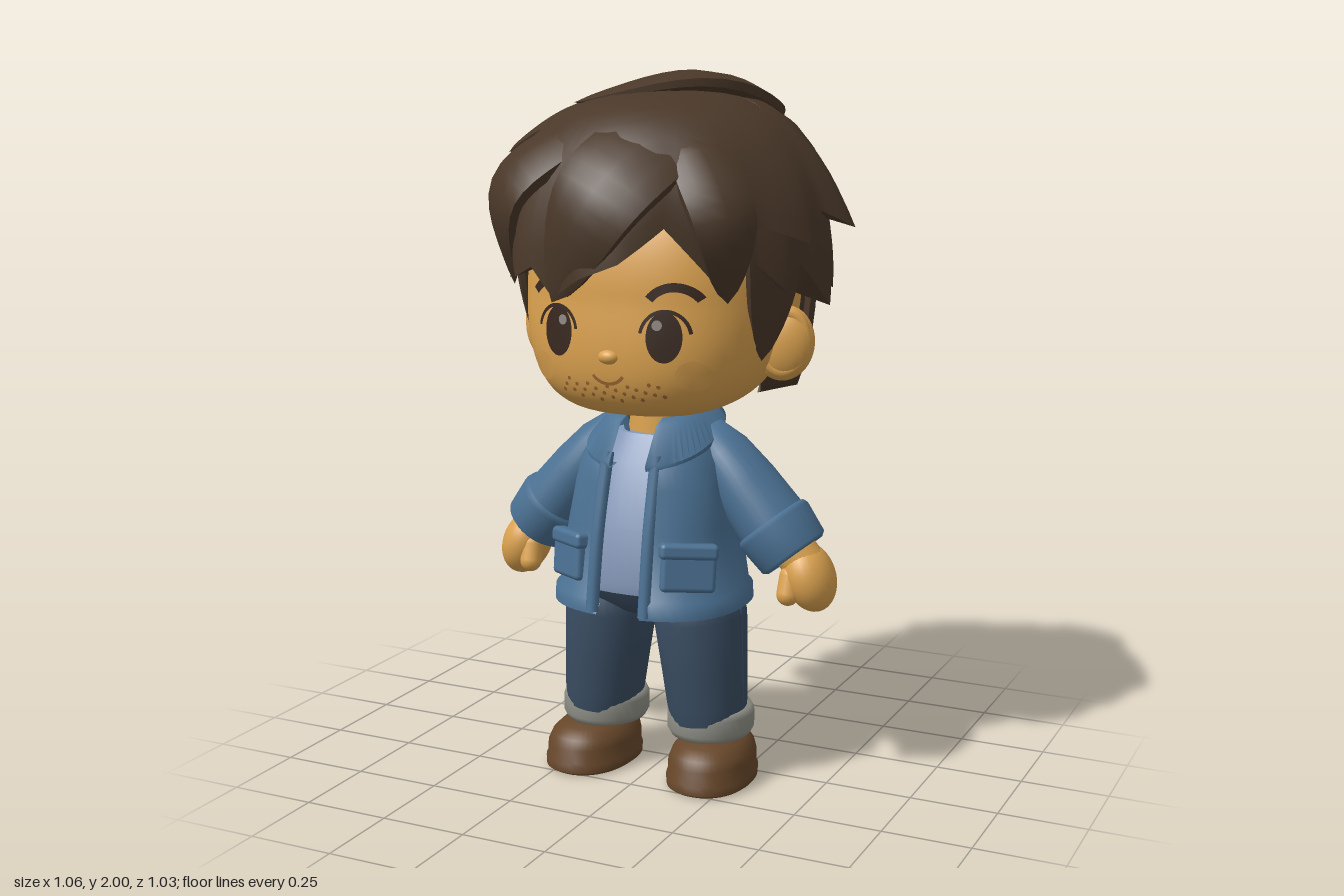
import * as THREE from 'three';
import { toCreasedNormals } from 'three/addons/utils/BufferGeometryUtils.js';
import { RoundedBoxGeometry } from 'three/addons/geometries/RoundedBoxGeometry.js';

const mat = (name, color, side = THREE.FrontSide) => {
  const m = new THREE.MeshStandardMaterial({ color, side });
  m.name = name;
  return m;
};
const V = (x, y, z) => new THREE.Vector3(x, y, z);
const spow = (v, e) => Math.sign(v) * Math.pow(Math.abs(v), e);

// Surface from a rule fn(i, j) -> Vector3; i runs anticlockwise seen from above, j upward
function grid(nu, nv, fn, crease = 0.9) {
  const pos = [], idx = [];
  for (let j = 0; j <= nv; j++) for (let i = 0; i <= nu; i++) pos.push(...fn(i, j).toArray());
  for (let j = 0; j < nv; j++) for (let i = 0; i < nu; i++) {
    const a = j * (nu + 1) + i, c = a + nu + 1;
    idx.push(a, a + 1, c, a + 1, c + 1, c);
  }
  const g = new THREE.BufferGeometry();
  g.setAttribute('position', new THREE.Float32BufferAttribute(pos, 3));
  g.setIndex(idx);
  return toCreasedNormals(g, crease);
}

// Stacked rounded sections: rows of [y, halfWidth, zFront, zBack, tilt], with an optional front opening
function loft(rows, gap = 0, p = 2.4) {
  const n = 48;
  return grid(n, rows.length - 1, (i, j) => {
    const [y, rx, zf, zb, tilt = 0] = rows[j];
    const g = Math.asin(Math.min(1, Math.pow(gap / rx, p / 2)));
    const t = g + (i / n) * (2 * Math.PI - 2 * g);
    const c = spow(Math.cos(t), 2 / p);
    return V(rx * spow(Math.sin(t), 2 / p), y + tilt * c, (zf + zb) / 2 + ((zf - zb) / 2) * c);
  });
}

// Hair layer hung from the crown; its edge passes through [degrees, y, radius] points,
// then turns in underneath to the given share of the radius
function hairLayer(edge, R, s0, inner = 0.72, rise = 0.04) {
  const cy = 1.55, ry = 0.395, k = 4, nv = 14;
  return grid((edge.length - 1) * k, nv, (i, j) => {
    const q = Math.min(Math.floor(i / k), edge.length - 2), f = i / k - q;
    const [th, y, r] = edge[q].map((v, m) => v + (edge[q + 1][m] - v) * f);
    const t = THREE.MathUtils.degToRad(th);
    if (j === 0) return V(r * inner * Math.sin(t), y + rise, r * inner * Math.cos(t));
    const s = 1 - (1 - s0) * (j - 1) / (nv - 1);
    const end = Math.acos(THREE.MathUtils.clamp((y - cy) / ry, -0.8, 1));
    const rad = a => R * Math.pow(Math.max(0, Math.sin(a)), 0.72);
    const d = rad(s * end) + (r - rad(end)) * s ** 3;
    const fix = (y - cy - ry * Math.cos(end)) * s ** 3;
    return V(d * Math.sin(t), cy + ry * Math.cos(s * end) + fix, d * Math.cos(t));
  }, 0.8);
}

// Leaf-shaped lock along a curve, lying flat on the head
function lock(points, width, thick) {
  const curve = new THREE.CatmullRomCurve3(points.map(p => V(...p)));
  const n = 10, nv = 14;
  return grid(n, nv, (i, j) => {
    const v = j / nv, P = curve.getPoint(v), t = curve.getTangent(v);
    const out = P.clone().sub(V(0, 1.5, 0));
    out.addScaledVector(t, -out.dot(t)).normalize();
    const b = t.clone().cross(out), a = (i / n) * Math.PI * 2;
    const f = 1.9 * Math.pow(1 - v, 0.7) * Math.pow(v, 0.35);
    return P.addScaledVector(out, thick * f * Math.cos(a)).addScaledVector(b, width * f * Math.sin(a));
  }, 0.8);
}

// Head: a rounded block, full at the cheeks, with the chin carried forward
const HEAD = { y: 1.4, z: 0.02, rx: 0.375, ry: 0.335, rz: 0.345, p: 2.4 };
const headWidth = v => Math.pow(Math.max(0, 1 - v * v), 0.275);
const chin = v => HEAD.z + 0.09 * Math.pow(Math.max(0, -v), 1.4);
function faceZ(x, y) {
  const v = (y - HEAD.y) / HEAD.ry;
  const q = Math.pow(headWidth(v), HEAD.p) - Math.pow(Math.abs(x) / HEAD.rx, HEAD.p);
  return chin(v) + HEAD.rz * Math.pow(Math.max(0, q), 1 / HEAD.p);
}
function headGeometry() {
  const n = 64, nv = 48;
  return grid(n, nv, (i, j) => {
    const t = (i / n) * Math.PI * 2, v = -Math.cos((j / nv) * Math.PI), s = Math.sin(t), c = Math.cos(t);
    const k = headWidth(v) / Math.pow(Math.abs(s) ** HEAD.p + Math.abs(c) ** HEAD.p, 1 / HEAD.p);
    return V(HEAD.rx * k * s, HEAD.y + HEAD.ry * v, chin(v) + HEAD.rz * k * c);
  });
}
// Lay a flat shape onto the face
function onFace(geo, x, y, off = 0.006) {
  geo.translate(x, y, 0);
  const p = geo.attributes.position;
  for (let i = 0; i < p.count; i++) p.setZ(i, faceZ(p.getX(i), p.getY(i)) + off);
  geo.computeVertexNormals();
  return geo;
}
const lathe = pts => new THREE.LatheGeometry(pts.map(([r, y]) => new THREE.Vector2(r, y)), 32);

export function createModel() {
  const model = new THREE.Group();
  const skin = mat('skin', 0xdba24f), hair = mat('hair', 0x4a3829, THREE.DoubleSide);
  const denim = mat('jacket blue', 0x4b7193, THREE.DoubleSide), shirt = mat('shirt blue', 0x8699ba);
  const trouser = mat('trouser navy', 0x3a4d62), grey = mat('cuff grey', 0x8f8f87), leather = mat('shoe brown', 0x664629);
  const dark = mat('eye brown', 0x38281f), shine = mat('eye shine', 0x8d8580), stubble = mat('stubble', 0x9f6734);
  const add = (name, geo, m, pos = [0, 0, 0], rot = [0, 0, 0], scale = [1, 1, 1]) => {
    const mesh = new THREE.Mesh(geo, m);
    mesh.name = name;
    mesh.position.set(...pos);
    mesh.rotation.set(...rot);
    mesh.scale.set(...scale);
    model.add(mesh);
  };
  const ball = new THREE.SphereGeometry(1, 28, 20);

  // Head and face
  add('head', headGeometry(), skin);
  add('neck', new THREE.CylinderGeometry(0.085, 0.1, 0.2, 28), skin, [0, 1.02, 0.04]);
  add('nose', ball, skin, [0, 1.25, 0.368], [0, 0, 0], [0.03, 0.02, 0.022]);
  add('mouth', onFace(new THREE.RingGeometry(0.05, 0.059, 16, 1, Math.PI * 1.2, Math.PI * 0.6), 0, 1.232), stubble);
  for (let i = 0; i < 26; i++) {
    const x = -0.15 + 0.3 * (i / 25), y = 1.13 + 0.8 * x * x + 0.04 * ((i * 7) % 5) / 4;
    add('stubbleDot', onFace(new THREE.CircleGeometry(0.006, 6), x, y, 0.004), stubble);
  }

  for (const s of [-1, 1]) {
    add('eye', onFace(new THREE.CircleGeometry(1, 28).scale(0.047, 0.068, 1), s * 0.157, 1.31), dark);
    add('eyeShine', onFace(new THREE.CircleGeometry(0.014, 14), s * 0.14, 1.342, 0.009), shine);
    add('eyelid', onFace(new THREE.RingGeometry(0.92, 1.06, 20, 1, 0.15, Math.PI - 0.3).scale(0.066, 0.07, 1), s * 0.16, 1.31, 0.008), dark);
    add('eyebrow', onFace(new THREE.RingGeometry(0.07, 0.094, 20, 1, 0.65, Math.PI - 1.3), s * 0.182, 1.36, 0.008), dark);
    add('cheek', onFace(new THREE.CircleGeometry(0.042, 24), s * 0.225, 1.205, 0.005), skin);
    add('ear', ball, skin, [s * 0.365, 1.265, 0.03], [0, s * 0.25, -s * 0.15], [0.085, 0.105, 0.05]);
    add('earRim', new THREE.TorusGeometry(0.062, 0.014, 12, 32), skin, [s * 0.375, 1.27, 0.05], [0, s * 0.35, -s * 0.15], [0.95, 1.3, 1]);
  }

  // Hair layers, from the crown and fringe down to the nape
  const side = [[58, 1.6, 0.45], [75, 1.55, 0.49], [85, 1.63, 0.475], [97, 1.58, 0.535], [116, 1.65, 0.45],
    [137, 1.58, 0.53], [160, 1.65, 0.455], [180, 1.58, 0.52]];
  const mirrored = list => [...list.slice(0, -1), ...list.slice().reverse().map(([a, y, r]) => [360 - a, y, r])];
  // The fringe closes the loop from the right side round to the start
  const fringe = [[302, 1.6, 0.46], [322, 1.52, 0.47], [331, 1.46, 0.5], [338, 1.49, 0.49], [346, 1.41, 0.475], [358, 1.47, 0.5],
    [370, 1.51, 0.49], [384, 1.6, 0.45], [402, 1.45, 0.44], [418, 1.6, 0.45]];
  add('hairCrown', hairLayer([...mirrored(side).slice(0, -1), ...fringe], 0.465, 0), hair);
  add('hairMiddle', hairLayer(mirrored([[58, 1.5, 0.43], [70, 1.42, 0.45], [79, 1.49, 0.44], [92, 1.37, 0.48], [110, 1.45, 0.435],
    [131, 1.38, 0.495], [156, 1.45, 0.44], [180, 1.37, 0.485]]), 0.435, 0.3), hair);
  add('hairLower', hairLayer(mirrored([[93, 1.2, 0.38], [104, 1.13, 0.37], [120, 1.11, 0.355], [134, 1.18, 0.4], [156, 1.23, 0.385],
    [180, 1.19, 0.405]]), 0.39, 0.3, 0.72, -0.02), hair);
  add('hairNape', ball, hair, [0, 1.36, -0.13], [0, 0, 0], [0.35, 0.25, 0.25]);
  const locks = [
    ['crownLock', [[0.12, 1.87, -0.38], [0.04, 1.96, -0.08], [-0.21, 1.91, 0.16]], 0.17, 0.042],
    ['rightLock', [[-0.05, 1.92, 0.02], [-0.26, 1.86, 0.08], [-0.44, 1.77, 0.12]], 0.13, 0.04],
    ['leftLock', [[0.15, 1.87, -0.2], [0.33, 1.8, -0.08], [0.45, 1.62, 0.1]], 0.14, 0.05],
    ['sweptFringe', [[0.15, 1.88, 0.18], [0.02, 1.68, 0.46], [-0.12, 1.4, 0.46]], 0.15, 0.04],
    ['leftFringe', [[0.18, 1.84, 0.26], [0.32, 1.62, 0.34], [0.31, 1.4, 0.29]], 0.1, 0.04],
    ['rightFringe', [[-0.1, 1.86, 0.25], [-0.3, 1.68, 0.37], [-0.33, 1.42, 0.29]], 0.13, 0.04],
    ['backLock', [[-0.1, 1.9, -0.1], [0, 1.89, -0.24], [0.05, 1.83, -0.39]], 0.15, 0.035],
  ];
  for (const [name, pts, w, th] of locks) add(name, lock(pts, w, th), hair);
  for (const s of [-1, 1]) {
    add('sideburn', lock([[s * 0.38, 1.66, 0.14], [s * 0.375, 1.45, 0.14], [s * 0.345, 1.23, 0.14]], 0.11, 0.028), hair);
  }

  // Shirt and open jacket with a raised back yoke
  add('shirt', loft([[0.57, 0.001, 0.09, 0.09], [0.57, 0.22, 0.28, -0.1], [0.6, 0.225, 0.285, -0.1], [0.75, 0.2, 0.26, -0.09],
    [0.92, 0.17, 0.2, -0.07], [1.0, 0.12, 0.15, -0.05], [1.0, 0.001, 0.04, 0.04]]), shirt);
  add('jacketBody', loft([[0.54, 0.235, 0.3, -0.12], [0.515, 0.26, 0.325, -0.145], [0.52, 0.278, 0.34, -0.16], [0.56, 0.276, 0.338, -0.158],
    [0.57, 0.265, 0.328, -0.148], [0.75, 0.24, 0.3, -0.126], [0.87, 0.22, 0.275, -0.11], [0.872, 0.22, 0.275, -0.118],
    [0.93, 0.208, 0.26, -0.108], [1.01, 0.165, 0.21, -0.098], [1.06, 0.11, 0.15, -0.08]], 0.07), denim);
  add('collar', loft([[0.985, 0.165, 0.22, -0.09, -0.06], [0.985, 0.185, 0.265, -0.115, -0.066], [1.0, 0.188, 0.268, -0.115, -0.066],
    [1.07, 0.135, 0.2, -0.1, -0.035], [1.08, 0.115, 0.16, -0.08, -0.03], [1.02, 0.105, 0.14, -0.07, -0.03]], 0.055), denim);

  for (const s of [-1, 1]) {
    const edge = new THREE.CatmullRomCurve3([V(s * 0.08, 0.525, 0.325), V(s * 0.078, 0.75, 0.288), V(s * 0.075, 0.96, 0.232)]);
    add('placket', new THREE.TubeGeometry(edge, 16, 0.018, 10), denim);
    add('pocket', new RoundedBoxGeometry(0.155, 0.12, 0.035, 3, 0.014), denim, [s * 0.183, 0.655, 0.258], [-0.12, s * 0.62, 0]);
    add('pocketFlap', new RoundedBoxGeometry(0.165, 0.045, 0.045, 3, 0.014), denim, [s * 0.183, 0.708, 0.254], [-0.12, s * 0.62, 0]);

    // Sleeve, turned-up cuff and hand
    const arm = [0, 0, s * 0.69], at = [s * 0.155, 0.98, 0.035];
    add('sleeve', lathe([[0.1, -0.36], [0.099, -0.28], [0.092, -0.16], [0.078, -0.05], [0.05, 0.03], [0, 0.05]]), denim, at, arm, [1, 1, 1.15]);
    add('sleeveCuff', lathe([[0.06, -0.385], [0.09, -0.4], [0.103, -0.39], [0.112, -0.3], [0.106, -0.285], [0.09, -0.28]]), denim, at, arm, [1, 1, 1.12]);
    add('wrist', new THREE.CylinderGeometry(0.065, 0.06, 0.12, 20), skin, [s * 0.415, 0.675, 0.035], arm);
    add('hand', ball, skin, [s * 0.452, 0.613, 0.03], [0, 0, s * 0.35], [0.07, 0.1, 0.085]);
    add('thumb', new THREE.CapsuleGeometry(0.032, 0.05, 8, 16), skin, [s * 0.41, 0.595, 0.08], [-0.3, 0, -s * 0.05]);

    // Trouser leg, rolled cuff and shoe
    add('trouserLeg', lathe([[0.105, 0.18], [0.113, 0.23], [0.12, 0.34], [0.13, 0.48], [0.115, 0.58], [0, 0.6]]), trouser,
      [s * 0.185, 0, 0.083], [0, 0, s * 0.09], [1, 1, 1.14]);
    add('legSeam', new THREE.CylinderGeometry(0.006, 0.006, 0.28, 8), trouser, [s * 0.269, 0.38, 0.083], [0, 0, s * 0.02]);
    add('trouserCuff', lathe([[0.09, 0.13], [0.114, 0.132], [0.124, 0.15], [0.124, 0.195], [0.116, 0.213], [0.09, 0.215]]), grey,
      [s * 0.168, 0, 0.068], [0, 0, 0], [1, 1, 1.07]);
    add('shoe', loft([[0, 0.001, 0.09, 0.09], [0, 0.112, 0.255, -0.062], [0.008, 0.122, 0.268, -0.07], [0.032, 0.123, 0.269, -0.07],
      [0.038, 0.119, 0.265, -0.067], [0.075, 0.118, 0.261, -0.067], [0.1, 0.11, 0.245, -0.063], [0.122, 0.09, 0.208, -0.05],
      [0.135, 0.06, 0.16, -0.03], [0.138, 0.001, 0.06, 0.06]], 0, 2.2), leather, [s * 0.182, 0, 0.005], [0, s * 0.08, 0]);
  }
  add('hips', loft([[0.49, 0.001, 0.09, 0.09], [0.49, 0.1, 0.19, -0.02], [0.53, 0.23, 0.23, -0.07], [0.6, 0.24, 0.26, -0.09],
    [0.6, 0.001, 0.09, 0.09]]), trouser);
  return model;
}
